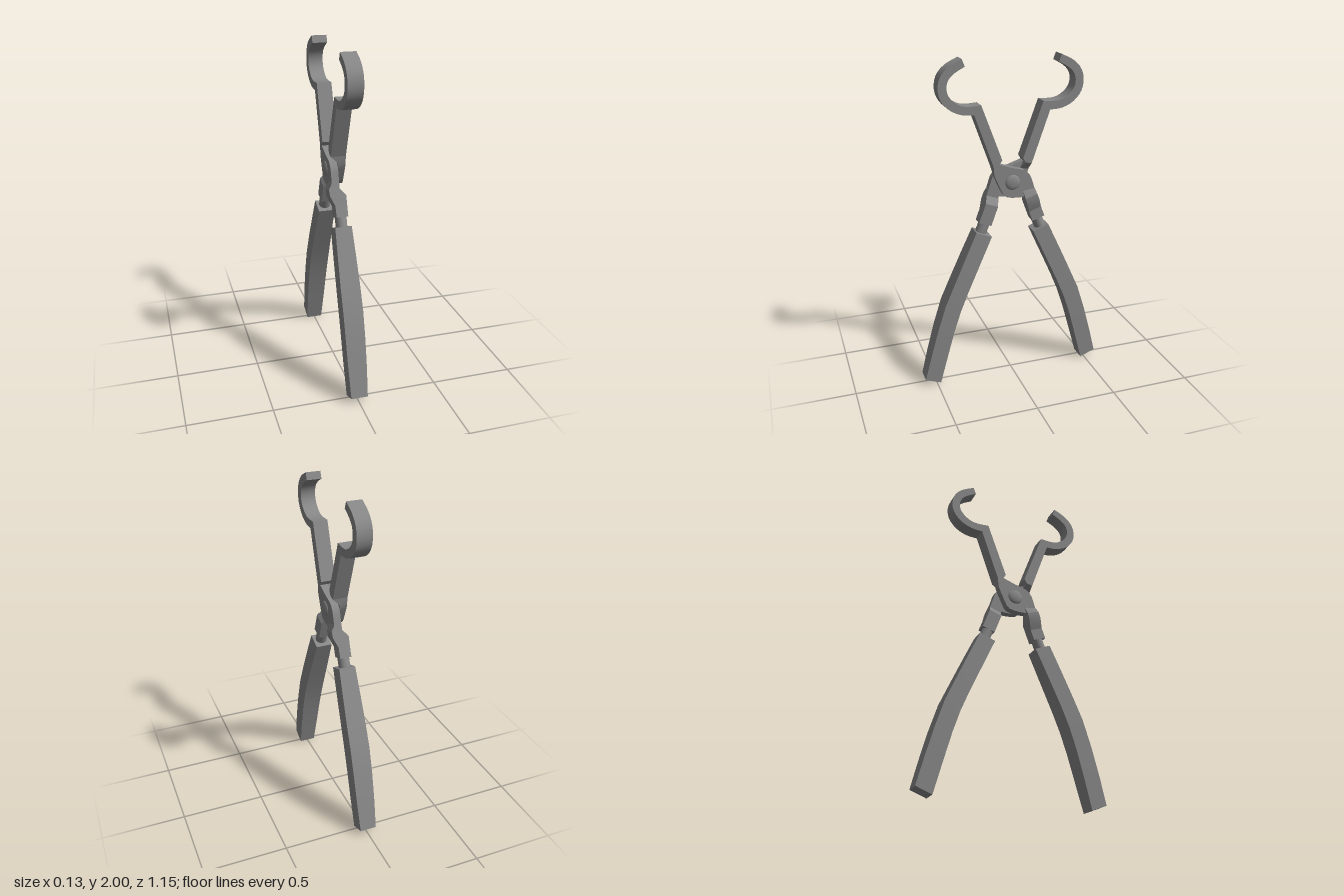
import * as THREE from 'three';
import { toCreasedNormals } from 'three/addons/utils/BufferGeometryUtils.js';

const material = new THREE.MeshStandardMaterial({ color: 0x878787 });

function add(group, name, geometry) {
  const mesh = new THREE.Mesh(geometry, material);
  mesh.name = name;
  group.add(mesh);
  return mesh;
}

// Side outline of [z, y] points, extruded from x0 to x1
function slab(points, x0, x1) {
  const shape = new THREE.Shape(points.map(([z, y]) => new THREE.Vector2(z, y)));
  const geo = new THREE.ExtrudeGeometry(shape, { depth: x1 - x0, bevelEnabled: false });
  geo.rotateY(-Math.PI / 2).translate(x1, 0, 0);
  return toCreasedNormals(geo, 0.5);
}

// Four-sided loft, top to bottom. Section: [front z, front y, back z, back y, x0, x1]
function loft(sections) {
  const rings = sections.map(([zf, yf, zb, yb, x0, x1]) =>
    [[x0, yf, zf], [x1, yf, zf], [x1, yb, zb], [x0, yb, zb]]);
  const pos = [];
  const quad = (a, b, c, d) => pos.push(...a, ...b, ...c, ...a, ...c, ...d);
  quad(...rings[0]);
  for (let k = 0; k < rings.length - 1; k++) {
    const a = rings[k], b = rings[k + 1];
    for (let i = 0; i < 4; i++) {
      const j = (i + 1) % 4;
      quad(a[i], b[i], b[j], a[j]);
    }
  }
  quad(...[...rings[rings.length - 1]].reverse());
  const geo = new THREE.BufferGeometry();
  geo.setAttribute('position', new THREE.Float32BufferAttribute(pos, 3));
  return toCreasedNormals(geo, 0.4);
}

// Smooth run of [z, y] points
function smooth(points, n) {
  const curve = new THREE.SplineCurve(points.map(([z, y]) => new THREE.Vector2(z, y)));
  return curve.getPoints(n).map((p) => [p.x, p.y]);
}

function createHalf() {
  const half = new THREE.Group();

  // Hooked jaw and straight arm in one outline
  const outer = smooth([[0.228, 1.687], [0.297, 1.692], [0.366, 1.722], [0.416, 1.777],
    [0.432, 1.843], [0.416, 1.91], [0.366, 1.963], [0.292, 2.0]], 20);
  const inner = smooth([[0.276, 1.958], [0.334, 1.926], [0.371, 1.889], [0.382, 1.841],
    [0.366, 1.793], [0.318, 1.752], [0.265, 1.737], [0.186, 1.74]], 20);
  add(half, 'jawArm', slab([...outer, ...inner, [0.064, 1.411], [0.08, 1.385], [0.117, 1.375]],
    -0.045, 0.045));

  // Slanted step from the full arm down to the half-thickness plate
  add(half, 'armStep', loft([
    [0.117, 1.376, 0.08, 1.386, -0.045, 0.045],
    [0.112, 1.33, 0.06, 1.335, 0, 0.045],
  ]));

  // Pivot plate with rounded hip
  const hip = smooth([[-0.075, 1.338], [-0.108, 1.305], [-0.128, 1.25], [-0.148, 1.185]], 8);
  const belly = smooth([[-0.08, 1.178], [-0.04, 1.172], [0.04, 1.183], [0.072, 1.23], [0.112, 1.32]], 10);
  add(half, 'pivotPlate', slab([[0.117, 1.376], [0.08, 1.386], [0, 1.358], ...hip, ...belly], 0, 0.045));

  // Shank with its shoulder
  add(half, 'shank', loft([
    [-0.064, 1.21, -0.138, 1.222, 0, 0.045],
    [-0.075, 1.165, -0.148, 1.19, 0, 0.065],
    [-0.088, 1.125, -0.163, 1.152, -0.035, 0.062],
    [-0.108, 1.07, -0.183, 1.097, -0.035, 0.036],
    [-0.131, 1.008, -0.207, 1.035, -0.035, 0.035],
  ]));

  // Round neck between shank and grip
  const neck = add(half, 'neck', new THREE.CylinderGeometry(0.035, 0.034, 0.09, 20));
  neck.position.set(0, 0.99, -0.178);
  neck.rotation.x = 0.38;

  // Curved grip
  add(half, 'grip', loft([
    [-0.133, 0.944, -0.228, 0.981, -0.05, 0.05],
    [-0.21, 0.775, -0.3, 0.825, -0.055, 0.055],
    [-0.292, 0.594, -0.371, 0.668, -0.059, 0.059],
    [-0.34, 0.477, -0.432, 0.532, -0.06, 0.06],
    [-0.382, 0.35, -0.484, 0.37, -0.059, 0.059],
    [-0.43, 0.177, -0.531, 0.2, -0.056, 0.056],
    [-0.477, 0, -0.573, 0.037, -0.05, 0.05],
  ]));

  // Domed rivet head
  const head = new THREE.SphereGeometry(0.046, 24, 8, 0, Math.PI * 2, 0, Math.PI / 2);
  head.scale(1, 0.34, 1).rotateZ(-Math.PI / 2);
  add(half, 'rivetHead', head).position.set(0.044, 1.27, 0);
  return half;
}

export function createModel() {
  const model = new THREE.Group();
  model.name = 'tongs';
  // Two identical halves, turned half round about the upright axis
  ['firstHalf', 'secondHalf'].forEach((name, i) => {
    const half = createHalf();
    half.name = name;
    half.rotation.y = i * Math.PI;
    model.add(half);
  });
  return model;
}
